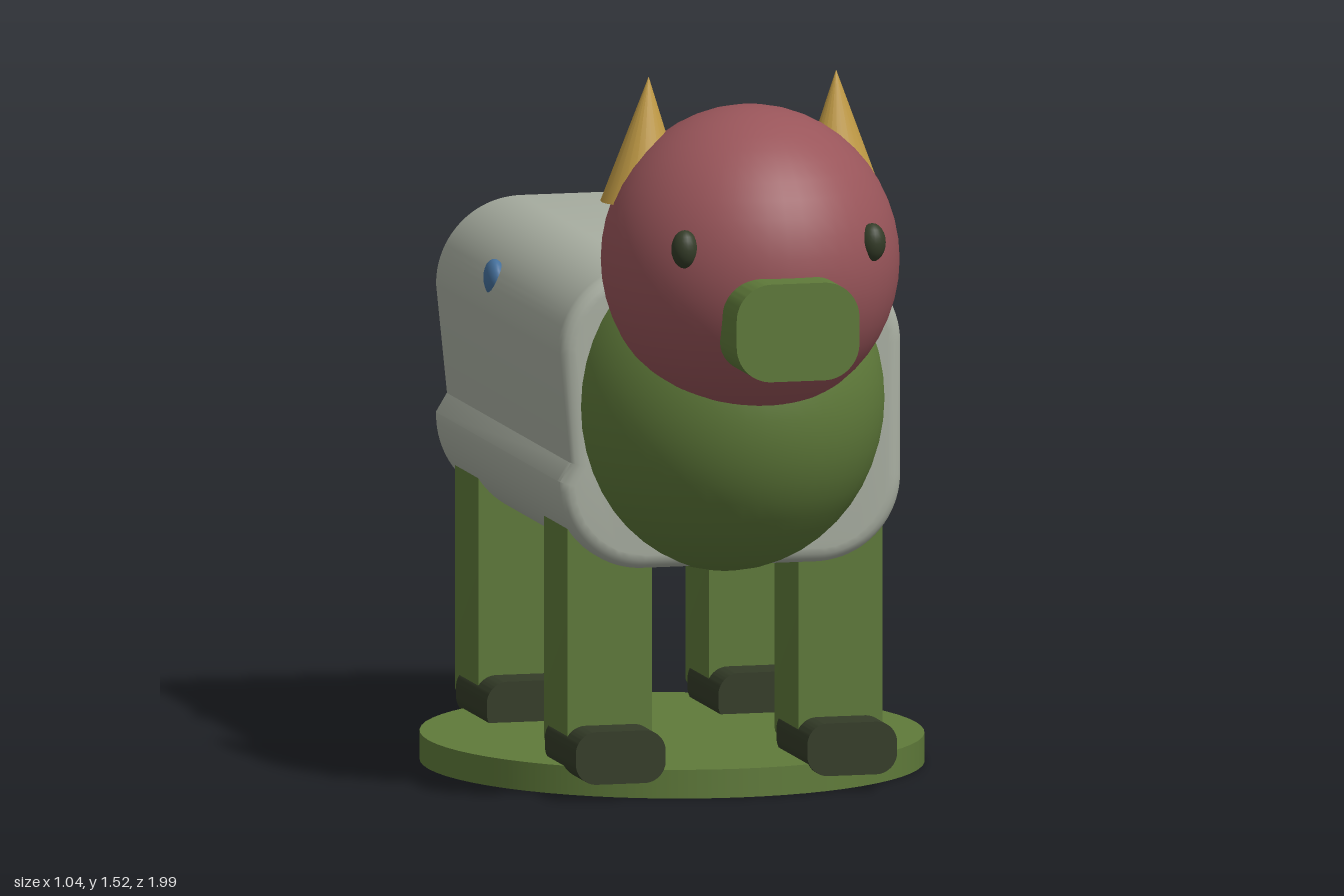
import * as THREE from 'three';
import { toCreasedNormals } from 'three/addons/utils/BufferGeometryUtils.js';

const mat = (name, color) => {
  const m = new THREE.MeshStandardMaterial({ color });
  m.name = name;
  return m;
};

export function createModel() {
  const green = mat('mossGreen', 0x5f7a3a);
  const red = mat('dustyRed', 0x99555a);
  const grey = mat('paleGrey', 0xa9afa2);
  const gold = mat('hornGold', 0xc09a45);
  const blue = mat('knobBlue', 0x45709c);
  const dark = mat('darkOlive', 0x343c28);

  const model = new THREE.Group();
  model.name = 'toyAnimal';

  const add = (name, geometry, material, x = 0, y = 0, z = 0, parent = model) => {
    const mesh = new THREE.Mesh(geometry, material);
    mesh.name = name;
    mesh.position.set(x, y, z);
    parent.add(mesh);
    return mesh;
  };

  const ellipsoid = (rx, ry, rz, seg = 48) =>
    new THREE.SphereGeometry(1, seg, seg / 2).scale(rx, ry, rz);

  // Rounded rectangle; dent is the depth of a ledge low on the -x side
  const roundedShape = (w, h, r, dent = 0) => {
    const s = new THREE.Shape();
    s.moveTo(-w + r, -h);
    s.lineTo(w - r, -h);
    s.absarc(w - r, -h + r, r, -Math.PI / 2, 0);
    s.lineTo(w, h - r);
    s.absarc(w - r, h - r, r, 0, Math.PI / 2);
    s.lineTo(-w + r, h);
    s.absarc(-w + r, h - r, r, Math.PI / 2, Math.PI);
    if (dent) s.lineTo(-w + dent, -h + r + 0.04);
    s.lineTo(-w, -h + r);
    s.absarc(-w + r, -h + r, r, Math.PI, Math.PI * 1.5);
    return s;
  };

  // Extrusion along z, centred, with an optional bevel inside the given size
  const roundedBar = (width, height, depth, r, bevel = 0, dent = 0) => {
    const g = new THREE.ExtrudeGeometry(
      roundedShape(width / 2 - bevel, height / 2 - bevel, r - bevel, dent), {
        depth: depth - 2 * bevel, curveSegments: 10, bevelEnabled: bevel > 0,
        bevelSize: bevel, bevelThickness: bevel, bevelSegments: 4,
      });
    g.translate(0, 0, bevel - depth / 2);
    return toCreasedNormals(g, 0.6);
  };

  // Oval base
  add('base', new THREE.CylinderGeometry(0.52, 0.52, 0.06, 64).scale(1, 1, 1.06), green, 0, 0.03, -0.045);

  // Body, chest and head
  add('body', roundedBar(0.73, 0.635, 1.065, 0.18, 0.03, 0.024), grey, 0, 0.7925, -0.0775);
  add('chest', ellipsoid(0.33, 0.36, 0.36), green, 0, 0.82, 0.385);
  add('head', ellipsoid(0.308, 0.32, 0.322), red, 0, 1.14, 0.603);
  add('snout', roundedBar(0.262, 0.204, 0.22, 0.075), green, 0, 1.042, 0.89);

  // Mirrored parts
  for (const side of [1, -1]) {
    const label = side > 0 ? 'left' : 'right';
    add(label + 'Eye', ellipsoid(0.028, 0.04, 0.028, 24), dark, side * 0.2, 1.2, 0.838);

    // Horn: cone whose tip leans slightly in and forward
    const horn = new THREE.ConeGeometry(1, 0.26, 24).scale(0.09, 1, 0.085);
    const p = horn.attributes.position;
    for (let i = 0; i < p.count; i++) {
      const t = p.getY(i) / 0.26 + 0.5;
      p.setX(i, p.getX(i) - side * 0.008 * t);
      p.setZ(i, p.getZ(i) + 0.01 * t);
    }
    add(label + 'Horn', horn, gold, side * 0.208, 1.388, 0.528);

    add(label + 'Knob', ellipsoid(0.022, 0.04, 0.04, 24), blue, side * 0.345, 1.0, -0.175);

    for (const [end, legZ, hoofZ] of [['Front', 0.298, 0.362], ['Back', -0.442, -0.375]]) {
      add(label + end + 'Leg', roundedBar(0.18, 0.54, 0.195, 0.015), green, side * 0.246, 0.35, legZ);
      add(label + end + 'Hoof', roundedBar(0.192, 0.11, 0.255, 0.045), dark, side * 0.247, 0.09, hoofZ);
    }
  }

  // Flattened tail with closed ends
  const tail = new THREE.Group();
  tail.name = 'tail';
  tail.scale.y = 0.35;
  model.add(tail);
  const path = new THREE.CatmullRomCurve3([
    new THREE.Vector3(0, 0.8, -0.575),
    new THREE.Vector3(0, 0.99, -0.8),
    new THREE.Vector3(0.02, 1.06, -0.87),
    new THREE.Vector3(0.06, 1.157, -0.945),
  ]);
  const r = 0.054;
  add('tailTube', new THREE.TubeGeometry(path, 32, r, 20), red, 0, 0, 0, tail);
  for (const t of [0, 1]) {
    const c = path.getPointAt(t);
    const normal = path.getTangentAt(t).multiplyScalar(t ? 1 : -1);
    const cap = add('tailCap', new THREE.CircleGeometry(r, 20), red, c.x, c.y, c.z, tail);
    cap.quaternion.setFromUnitVectors(new THREE.Vector3(0, 0, 1), normal);
  }

  return model;
}
